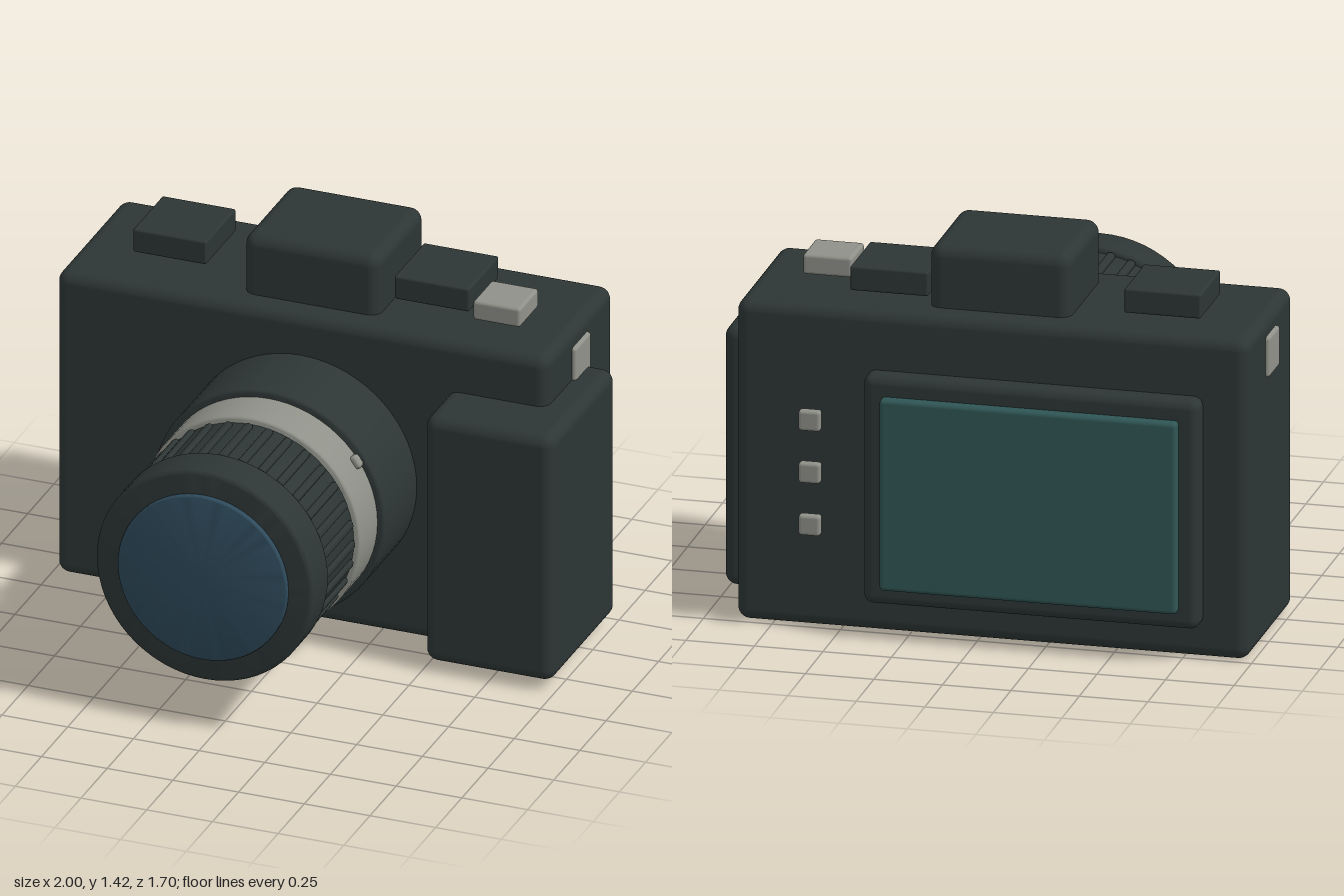
import * as THREE from 'three';
import { RoundedBoxGeometry } from 'three/addons/geometries/RoundedBoxGeometry.js';
import { toCreasedNormals } from 'three/addons/utils/BufferGeometryUtils.js';

function makeMaterial(name, color) {
  const material = new THREE.MeshStandardMaterial({ color });
  material.name = name;
  return material;
}

export function createModel() {
  const dark = makeMaterial('charcoal', 0x2d3635);
  const silver = makeMaterial('silver', 0x8f9189);
  const glass = makeMaterial('blue glass', 0x2e4a5b);
  const teal = makeMaterial('teal screen', 0x2f5655);

  const camera = new THREE.Group();
  camera.name = 'camera';

  function add(parent, name, geometry, material) {
    const mesh = new THREE.Mesh(geometry, material);
    mesh.name = name;
    parent.add(mesh);
    return mesh;
  }

  // Rounded block given by its extents on each axis
  function block(name, material, [x0, x1], [y0, y1], [z0, z1], radius) {
    const geometry = new RoundedBoxGeometry(x1 - x0, y1 - y0, z1 - z0, 4, radius);
    const mesh = add(camera, name, geometry, material);
    mesh.position.set((x0 + x1) / 2, (y0 + y1) / 2, (z0 + z1) / 2);
    return mesh;
  }

  // Body, hand grip and viewfinder hump
  block('body', dark, [-0.985, 0.885], [0, 1.195], [-0.74, -0.1], 0.045);
  block('handGrip', dark, [0.505, 0.995], [0.035, 1.005], [-0.49, 0.125], 0.045);
  block('viewfinderHump', dark, [-0.31, 0.205], [1.15, 1.425], [-0.645, -0.195], 0.045);

  // Top plate controls
  block('leftDial', dark, [-0.775, -0.495], [1.215, 1.305], [-0.595, -0.31], 0.008);
  block('rightDial', dark, [0.22, 0.505], [1.215, 1.305], [-0.595, -0.31], 0.008);
  block('shutterButton', silver, [0.535, 0.715], [1.21, 1.285], [-0.45, -0.27], 0.012);

  // Strap lugs on both sides
  block('leftStrapLug', silver, [0.84, 0.9], [0.98, 1.13], [-0.49, -0.34], 0.012);
  block('rightStrapLug', silver, [-1, -0.94], [0.98, 1.13], [-0.49, -0.34], 0.012);

  // Back panel, screen and buttons
  block('screenFrame', dark, [-0.82, 0.405], [0.123, 0.977], [-0.81, -0.7], 0.035);
  block('screen', teal, [-0.75, 0.335], [0.19, 0.905], [-0.85, -0.8], 0.016);
  for (const y of [0.405, 0.6, 0.795]) {
    block('backButton', silver, [0.555, 0.635], [y - 0.038, y + 0.038], [-0.83, -0.792], 0.012);
  }

  // Lens, built along +z
  const lens = new THREE.Group();
  lens.name = 'lens';
  lens.position.set(-0.05, 0.6, 0);
  camera.add(lens);

  // Disc with rounded rims
  function ring(name, material, radius, z0, z1, bevel) {
    const points = [new THREE.Vector2(0, z0)];
    const steps = 5;
    for (const [z, start] of [[z0 + bevel, -Math.PI / 2], [z1 - bevel, 0]]) {
      for (let i = 0; i <= steps; i++) {
        const a = start + (i / steps) * Math.PI / 2;
        points.push(new THREE.Vector2(radius - bevel + Math.cos(a) * bevel, z + Math.sin(a) * bevel));
      }
    }
    points.push(new THREE.Vector2(0, z1));
    const geometry = new THREE.LatheGeometry(points, 64).rotateX(Math.PI / 2);
    return add(lens, name, toCreasedNormals(geometry, 0.5), material);
  }

  ring('lensMount', dark, 0.44, -0.15, 0.21, 0.012);
  ring('silverRing', silver, 0.414, 0.19, 0.38, 0.012);
  ring('focusBarrel', dark, 0.392, 0.36, 0.69, 0.008);
  ring('frontRing', dark, 0.413, 0.667, 0.828, 0.018);
  ring('frontGlass', glass, 0.322, 0.8, 0.848, 0.008);

  // Focus ribs around the barrel
  const ribGeometry = new RoundedBoxGeometry(0.032, 0.032, 0.275, 3, 0.012);
  const ribCount = 32;
  for (let i = 0; i < ribCount; i++) {
    const a = (i / ribCount) * Math.PI * 2;
    const rib = add(lens, 'focusRib', ribGeometry, dark);
    rib.position.set(Math.cos(a) * 0.39, Math.sin(a) * 0.39, 0.53);
    rib.rotation.z = a;
  }

  // Alignment bead on the silver ring
  const beadAngle = 0.61;
  const bead = add(lens, 'alignmentBead', new RoundedBoxGeometry(0.04, 0.05, 0.038, 3, 0.012), silver);
  bead.position.set(Math.cos(beadAngle) * 0.414, Math.sin(beadAngle) * 0.414, 0.233);
  bead.rotation.z = beadAngle;

  return camera;
}
